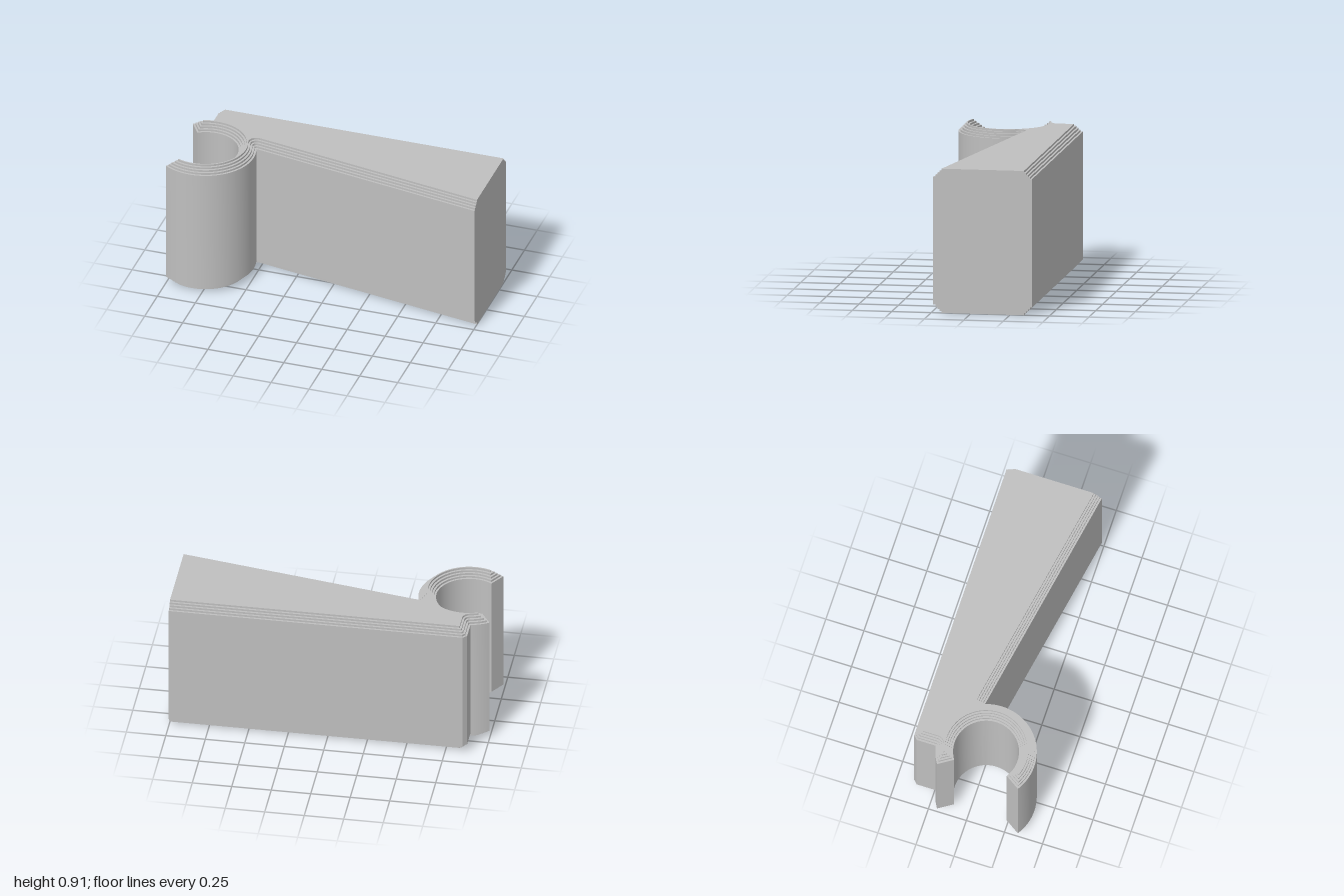
import * as THREE from 'three';
import { toCreasedNormals } from 'three/addons/utils/BufferGeometryUtils.js';

const HEIGHT = 0.913, STEPS = 4, STEP = 0.0128;
const CX = -0.825, CZ = 0.072, R_OUT = 0.317, R_IN = 0.206; // open clip ring
const TIP = 2.15;                    // half angle of the ring
const BACK_JOINT = -1.762, FRONT_JOINT = -0.335; // where the ring meets the body
const SLANT = THREE.MathUtils.degToRad(10);

// Plan outline of the clip, inset by d everywhere but at the flat end x = 1
function outline(d) {
  const pts = [];
  const add = (x, z) => {
    const p = new THREE.Vector2(x, -z), last = pts[pts.length - 1];
    if (!last || last.distanceTo(p) > 1e-4) pts.push(p);
  };
  const arc = (cx, cz, r, a, b, n) => {
    for (let i = 0; i <= n; i++) {
      const t = a + (b - a) * i / n;
      add(cx + r * Math.cos(t), cz + r * Math.sin(t));
    }
  };
  const joint = (a) => [CX + R_OUT * Math.cos(a), CZ + R_OUT * Math.sin(a)];
  const ro = R_OUT - d, ri = R_IN + d;
  const tipOut = TIP - Math.asin(d / ro), tipIn = TIP - Math.asin(d / ri);
  const [bx, bz] = joint(BACK_JOINT), [fx, fz] = joint(FRONT_JOINT);
  const back = -0.389 + d, left = bx + d;
  const cut = Math.max(0.025 - 0.586 * d, 0);

  // back wall and its small corner cut
  add(1, back);
  add(left + cut, back);
  add(left, back + cut);
  // rounded inner corner, then the short back jaw
  arc(bx, bz, d, 0, BACK_JOINT + Math.PI, 8);
  arc(CX, CZ, ro, BACK_JOINT, -tipOut, 10);
  // inside of the ring, then the long front jaw
  arc(CX, CZ, ri, -tipIn, tipIn, 64);
  arc(CX, CZ, ro, tipOut, FRONT_JOINT, 48);
  // rounded inner corner and the slanted front wall
  arc(fx, fz, d, FRONT_JOINT + Math.PI, SLANT + Math.PI * 1.5, 10);
  add(1, fz + (1 - fx) * Math.tan(SLANT) - d / Math.cos(SLANT));
  return new THREE.Shape(pts);
}

export function createModel() {
  const grey = new THREE.MeshStandardMaterial({ color: 0xbfbfbf });
  grey.name = 'grey';
  const model = new THREE.Group();
  model.name = 'clipBlock';

  // Nested slabs: each one is narrower and taller, making the stepped edges
  for (let k = 0; k <= STEPS; k++) {
    const base = (STEPS - k) * STEP;
    const geo = new THREE.ExtrudeGeometry(outline(k * STEP), {
      depth: HEIGHT - 2 * base, bevelEnabled: false,
    });
    geo.rotateX(-Math.PI / 2);
    geo.translate(0, base, 0);
    const mesh = new THREE.Mesh(toCreasedNormals(geo, 0.4), grey);
    mesh.name = k === 0 ? 'clipBody' : 'edgeStep' + k;
    model.add(mesh);
  }
  return model;
}
